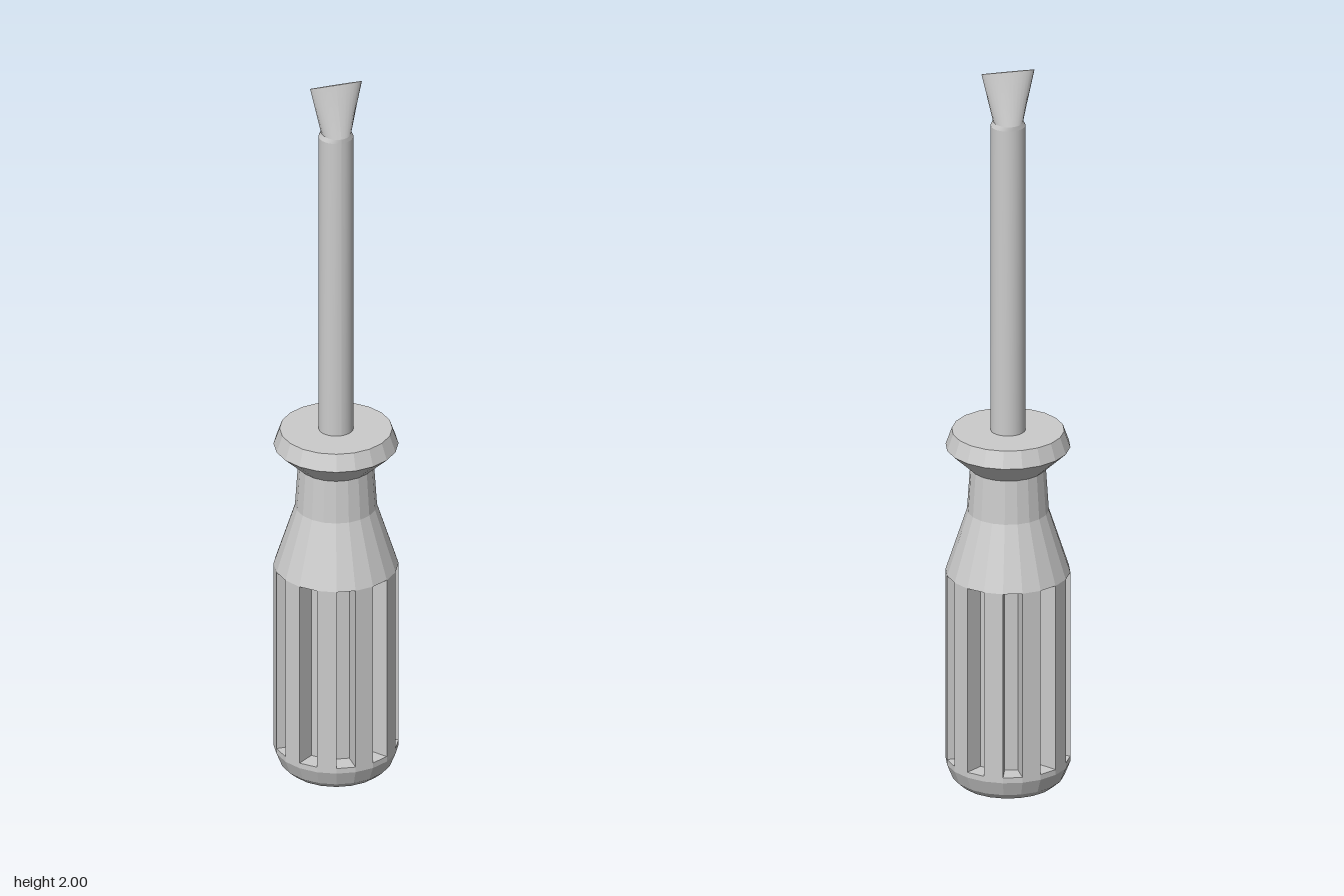
import * as THREE from 'three';

const SIDES = 20;
const flat = new THREE.MeshStandardMaterial({ color: 0xcccccc, flatShading: true });
const smooth = new THREE.MeshStandardMaterial({ color: 0xcccccc });

// Faceted turned part from [radius, y] pairs, bottom to top
function turned(name, profile) {
  const points = profile.map(([r, y]) => new THREE.Vector2(r, y));
  const mesh = new THREE.Mesh(new THREE.LatheGeometry(points, SIDES), flat);
  mesh.name = name;
  return mesh;
}

// Smooth solid between two ellipses [y, radiusX, radiusZ]
function loft(name, [y0, x0, z0], [y1, x1, z1]) {
  const geo = new THREE.CylinderGeometry(1, 1, 1, 32);
  const p = geo.attributes.position;
  for (let i = 0; i < p.count; i++) {
    const top = p.getY(i) > 0;
    p.setXYZ(i, p.getX(i) * (top ? x1 : x0), top ? y1 : y0, p.getZ(i) * (top ? z1 : z0));
  }
  geo.computeVertexNormals();
  const mesh = new THREE.Mesh(geo, smooth);
  mesh.name = name;
  return mesh;
}

// Grip section: every other facet is cut back to form a groove with radial walls
function flutedGrip(outer, inner, y0, y1) {
  const pts = [];
  const add = (r, a) => pts.push(new THREE.Vector2(r * Math.sin(a), -r * Math.cos(a)));
  const step = (Math.PI * 2) / SIDES;
  for (let i = 0; i < SIDES; i += 2) {
    add(outer, i * step);
    add(outer, (i + 1) * step);
    add(inner, (i + 1) * step);
    add(inner, (i + 2) * step);
  }
  const geo = new THREE.ExtrudeGeometry(new THREE.Shape(pts), { depth: y1 - y0, bevelEnabled: false });
  geo.rotateX(-Math.PI / 2);
  geo.translate(0, y0, 0);
  const mesh = new THREE.Mesh(geo, flat);
  mesh.name = 'flutedGrip';
  return mesh;
}

export function createModel() {
  const model = new THREE.Group();
  model.name = 'screwdriver';

  const handle = new THREE.Group();
  handle.name = 'handle';
  handle.add(
    turned('handleButt', [[0, 0], [0.127, 0], [0.147, 0.018], [0.163, 0.058], [0.163, 0.073], [0, 0.073]]),
    flutedGrip(0.163, 0.11, 0.073, 0.592),
    turned('handleNeck', [[0, 0.592], [0.163, 0.592], [0.107, 0.765], [0.099, 0.885]]),
    turned('collar', [[0.099, 0.885], [0.163, 0.945], [0.147, 0.99], [0, 0.99]])
  );

  // Round shaft, narrowing slightly where the flat blade begins
  const r = 0.0455;
  const blade = new THREE.Group();
  blade.name = 'shaftAndBlade';
  blade.add(
    loft('shaft', [0.98, r, r], [1.85, r, r]),
    loft('shaftShoulder', [1.85, r, r], [1.862, 0.039, r]),
    loft('bladeTip', [1.862, 0.039, r], [2, 0.071, 0.002])
  );

  model.add(handle, blade);
  return model;
}
